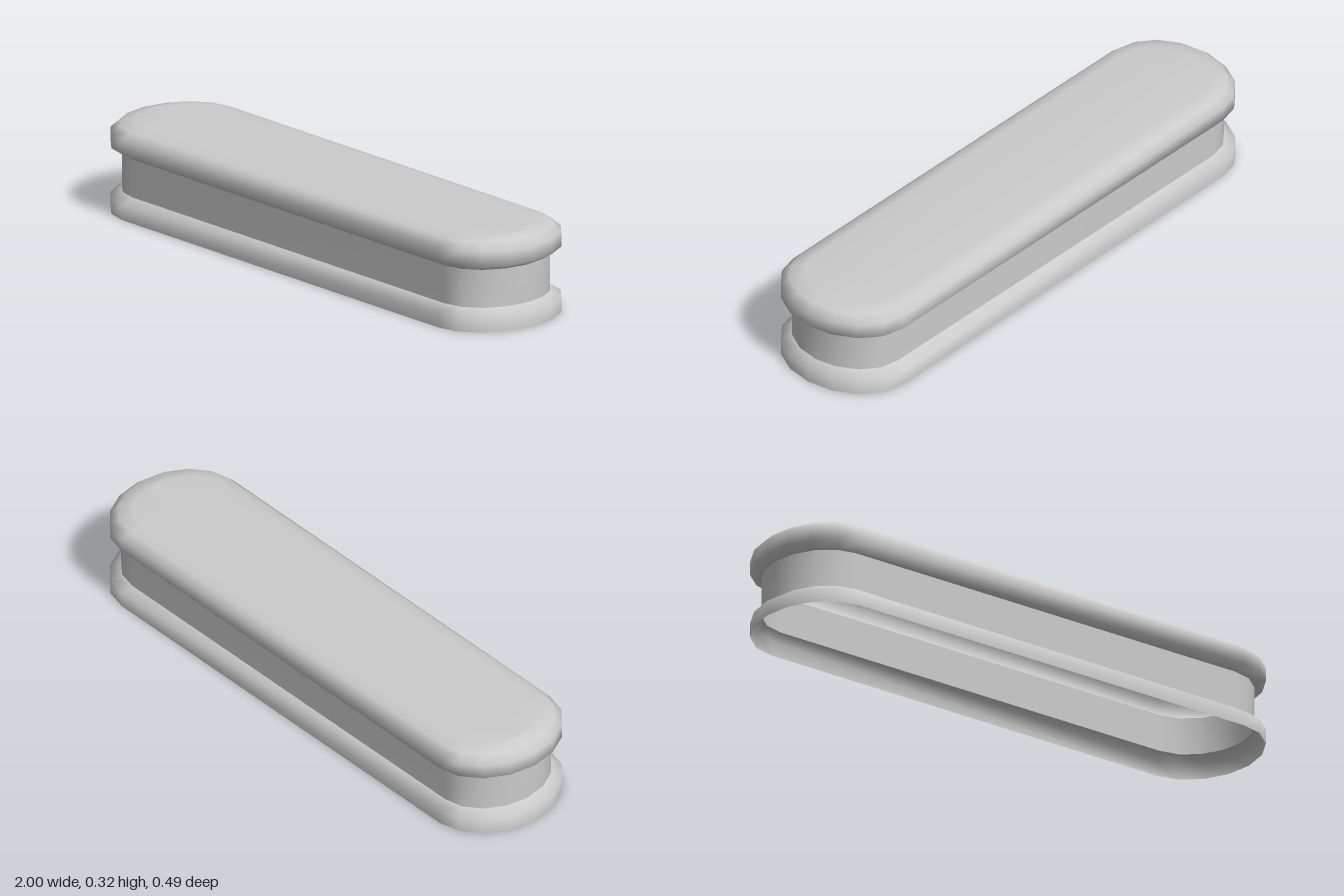
import * as THREE from 'three';

const SEGMENTS = 8; // facets around each rounded end

// Stadium outline with elliptical ends, pulled in by `inset`
function outline(inset, y, flatten = 1) {
  const straight = 0.8 - 0.35 * inset;
  const rx = 1 - inset - straight;
  const rz = (0.247 - inset) * flatten;
  const points = [];
  for (const side of [1, -1]) {
    for (let i = 0; i <= SEGMENTS; i++) {
      const a = -Math.PI / 2 + (Math.PI * i) / SEGMENTS;
      points.push([side * (straight + rx * Math.cos(a)), y, side * rz * Math.sin(a)]);
    }
  }
  return points;
}

// Smooth skin through a stack of equal outlines
function skin(name, rings, material) {
  const n = rings[0].length;
  const index = [];
  for (let j = 0; j < rings.length - 1; j++) {
    for (let i = 0; i < n; i++) {
      const a = j * n + i;
      const b = j * n + ((i + 1) % n);
      index.push(a, a + n, b, b, a + n, b + n);
    }
  }
  const geometry = new THREE.BufferGeometry();
  geometry.setAttribute('position', new THREE.Float32BufferAttribute(rings.flat(2), 3));
  geometry.setIndex(index);
  geometry.computeVertexNormals();
  const mesh = new THREE.Mesh(geometry, material);
  mesh.name = name;
  return mesh;
}

export function createModel() {
  const group = new THREE.Group();
  group.name = 'ovalPlinth';
  const material = new THREE.MeshStandardMaterial({ color: 0xcccccc, side: THREE.DoubleSide });

  // Flared foot, open underneath
  group.add(skin('baseRim', [outline(0, 0), outline(0, 0.053), outline(0.035, 0.075)], material));

  // Recessed wall
  group.add(skin('body', [outline(0.035, 0.075), outline(0.035, 0.208)], material));

  // Rounded lid, its last outline closing along the centre line
  group.add(skin('lid', [
    outline(0.035, 0.208),
    outline(0, 0.23),
    outline(0, 0.28),
    outline(0.027, 0.305),
    outline(0.072, 0.316),
    outline(0.072, 0.316, 0),
  ], material));

  return group;
}
